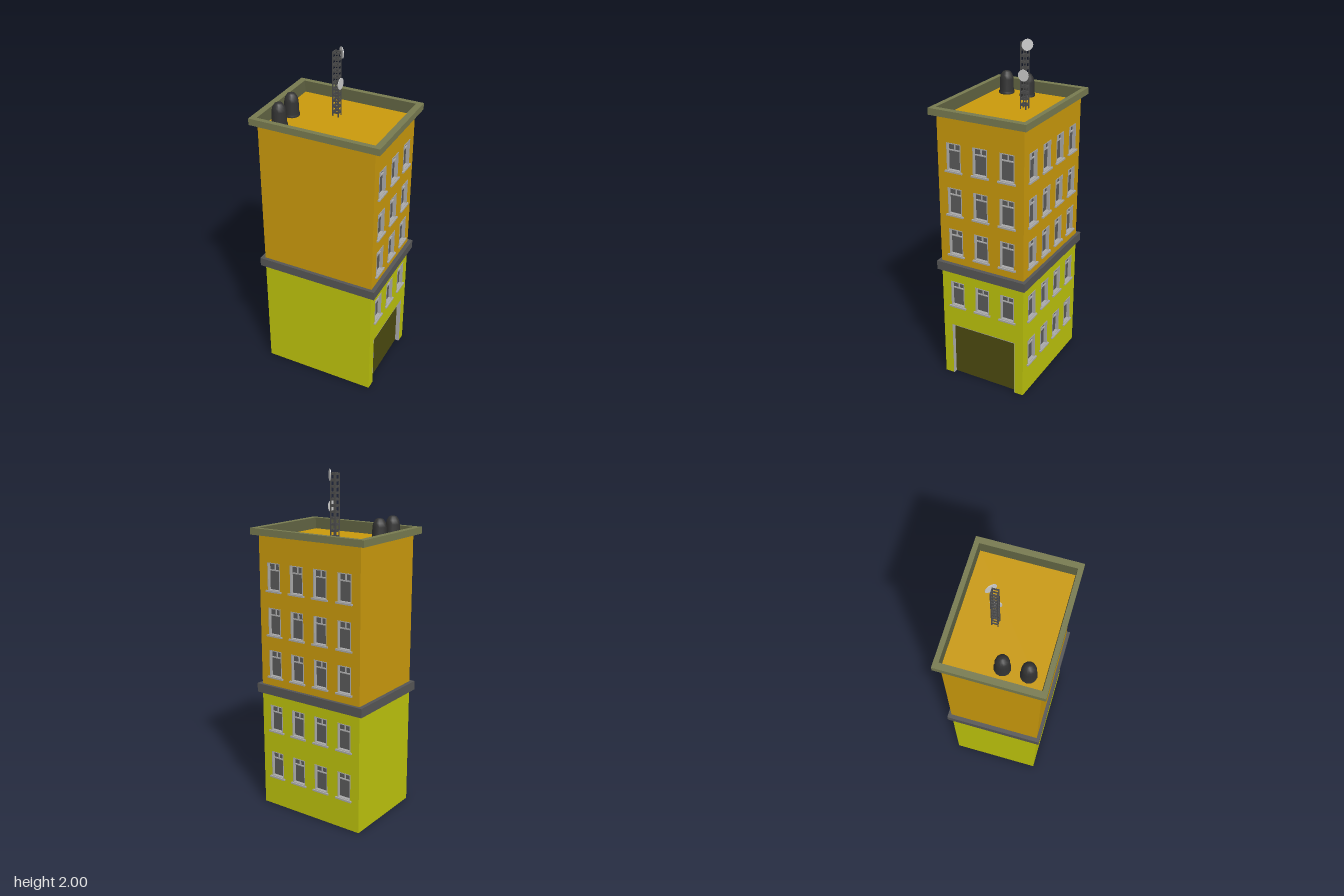
import * as THREE from 'three';

const HX = 0.342, HZ = 0.264; // half width and half depth of the walls
const mat = (color, side = THREE.FrontSide) => new THREE.MeshStandardMaterial({ color, side });
const lime = mat(0xbcc20c, THREE.DoubleSide);
const orange = mat(0xc9990c, THREE.DoubleSide);
const olive = mat(0x777a50);
const oliveInner = mat(0x5d6040, THREE.DoubleSide);
const bandGrey = mat(0x555555);
const frameGrey = mat(0xaaaaaa);
const glass = mat(0x5a5a5a);
const doorOlive = mat(0x4c4a10);
const black = mat(0x333333);
const steel = mat(0x4c4c4c);
const pale = mat(0xcccccc, THREE.DoubleSide);

function add(parent, name, geometry, material, x = 0, y = 0, z = 0) {
  const mesh = new THREE.Mesh(geometry, material);
  mesh.name = name;
  mesh.position.set(x, y, z);
  parent.add(mesh);
  return mesh;
}

function rect(x0, y0, x1, y1, Type = THREE.Shape) {
  const s = new Type();
  s.moveTo(x0, y0); s.lineTo(x1, y0); s.lineTo(x1, y1); s.lineTo(x0, y1);
  s.closePath();
  return s;
}

// Rectangular ring extruded along z
function ringGeometry(ox, oy, ix, iy, depth) {
  const s = rect(-ox, -oy, ox, oy);
  s.holes.push(rect(-ix, -iy, ix, iy, THREE.Path));
  return new THREE.ExtrudeGeometry(s, { depth, bevelEnabled: false });
}

// Horizontal ring around the building, starting at height y
function collar(parent, name, ox, oz, ix, iz, y, height, material) {
  const geo = ringGeometry(ox, oz, ix, iz, height).rotateX(-Math.PI / 2);
  return add(parent, name, geo, material, 0, y, 0);
}

const WIN_W = 0.088, WIN_H = 0.16, RECESS = 0.02;
const upperRows = [0.817, 1.067, 1.327];
const geo = {
  frame: ringGeometry(WIN_W / 2, WIN_H / 2, WIN_W / 2 - 0.005, WIN_H / 2 - 0.005, RECESS + 0.002),
  pane: new THREE.PlaneGeometry(WIN_W, WIN_H),
  transom: new THREE.BoxGeometry(WIN_W, 0.006, 0.008),
  mullion: new THREE.BoxGeometry(0.005, 0.042, 0.008),
  sill: new THREE.BoxGeometry(0.108, 0.01, 0.028),
};

// Recessed window; its origin is the middle of the bottom edge on the wall
function makeWindow(x, y) {
  const g = new THREE.Group();
  g.name = 'window';
  g.position.set(x, y, 0);
  add(g, 'windowFrame', geo.frame, frameGrey, 0, WIN_H / 2, -RECESS);
  add(g, 'windowPane', geo.pane, glass, 0, WIN_H / 2, -RECESS + 0.002);
  add(g, 'transom', geo.transom, frameGrey, 0, 0.116, -RECESS + 0.006);
  add(g, 'mullion', geo.mullion, frameGrey, 0, 0.138, -RECESS + 0.006);
  add(g, 'sill', geo.sill, frameGrey, 0, -0.003, -0.003);
  return g;
}

// One side of the building facing local +z, with its windows and garage opening
function makeSide(name, half, offset, angle, columns, lowerRows, door) {
  const side = new THREE.Group();
  side.name = name;
  side.rotation.y = angle;
  const face = new THREE.Group();
  face.position.z = offset;
  side.add(face);
  const storeys = [
    ['lowerWall', 0, 0.735, lowerRows, lime],
    ['upperWall', 0.735, 1.645, upperRows, orange],
  ];
  for (const [wallName, y0, y1, rows, material] of storeys) {
    let shape = rect(-half, y0, half, y1);
    if (door && y0 === 0) {
      shape = new THREE.Shape([
        [-half, 0], [-door.w, 0], [-door.w, door.h], [door.w, door.h],
        [door.w, 0], [half, 0], [half, y1], [-half, y1],
      ].map(([x, y]) => new THREE.Vector2(x, y)));
    }
    for (const y of rows) for (const x of columns) {
      shape.holes.push(rect(x - WIN_W / 2, y, x + WIN_W / 2, y + WIN_H, THREE.Path));
      face.add(makeWindow(x, y));
    }
    add(face, wallName, new THREE.ShapeGeometry(shape), material);
  }
  if (door) {
    const d = 0.025;
    add(face, 'garageDoor', new THREE.PlaneGeometry(door.w * 2, door.h), doorOlive, 0, door.h / 2, -d);
    for (const s of [-1, 1]) {
      add(face, 'doorJamb', new THREE.BoxGeometry(0.004, door.h, d), frameGrey,
        s * (door.w - 0.001), door.h / 2, -d / 2);
    }
    add(face, 'doorHead', new THREE.BoxGeometry(door.w * 2, 0.004, d), frameGrey, 0, door.h - 0.001, -d / 2);
  }
  return side;
}

// Square lattice mast with two dishes
function makeMast(roofY) {
  const mast = new THREE.Group();
  mast.name = 'mast';
  mast.position.set(-0.036, 0, -0.064);
  const h = 1.98 - roofY, r = 0.0165, t = 0.005;
  const post = new THREE.BoxGeometry(t, h, t);
  const rung = new THREE.BoxGeometry(2 * r, 0.012, 0.004);
  for (const x of [-r, r]) for (const z of [-r, r]) {
    add(mast, 'mastPost', post, steel, x, roofY + h / 2, z);
  }
  for (let y = 1.974; y > roofY + 0.02; y -= 0.034) {
    for (const s of [-1, 1]) {
      add(mast, 'mastRung', rung, steel, 0, y, s * r);
      add(mast, 'mastRung', rung, steel, s * r, y, 0).rotation.y = Math.PI / 2;
    }
  }
  const dishGeo = new THREE.CylinderGeometry(0.032, 0.032, 0.004, 20).rotateZ(-Math.PI / 2);
  add(mast, 'lowerDish', dishGeo, pale, 0.021, 1.8, -0.002);
  add(mast, 'upperDish', dishGeo, pale, 0.017, 1.968, -0.023).rotation.y = Math.PI / 4;
  return mast;
}

export function createModel() {
  const model = new THREE.Group();
  model.name = 'building';
  const roofY = 1.61;

  // Four sides: two plain, two with windows
  const backRows = [0.185, 0.48];
  model.add(
    makeSide('frontSide', HX, HZ, 0, [], [], null),
    makeSide('leftSide', HZ, HX, Math.PI / 2, [-0.163, 0, 0.163], [0.48], { w: 0.209, h: 0.345 }),
    makeSide('backSide', HX, HZ, Math.PI, [-0.24, -0.08, 0.08, 0.24], backRows, null),
    makeSide('rightSide', HZ, HX, -Math.PI / 2, [], [], null),
  );

  // Band between the storeys, cornice and sloping parapet lining
  collar(model, 'middleBand', 0.366, 0.283, HX - 0.002, HZ - 0.002, 0.71, 0.053, bandGrey);
  collar(model, 'cornice', 0.379, 0.293, 0.343, 0.265, 1.637, 0.038, olive);
  const lining = new THREE.CylinderGeometry(Math.SQRT2, Math.SQRT2 * 0.977, 1.674 - roofY, 4, 1, true)
    .rotateY(Math.PI / 4).scale(0.343, 1, 0.265).toNonIndexed();
  lining.computeVertexNormals();
  add(model, 'parapetLining', lining, oliveInner, 0, (1.674 + roofY) / 2, 0);

  // Roof deck
  const deck = new THREE.PlaneGeometry(2 * HX - 0.006, 2 * HZ - 0.006).rotateX(-Math.PI / 2);
  add(model, 'roofDeck', deck, orange, 0, roofY, 0);

  // Two domed roof vents
  const profile = [[0.045, 0], [0.045, 0.012], [0.041, 0.015], [0.039, 0.085], [0.034, 0.108],
    [0.022, 0.126], [0.01, 0.131], [0, 0.132]].map(([x, y]) => new THREE.Vector2(x, y));
  const vent = new THREE.LatheGeometry(profile, 12);
  for (const z of [0.037, 0.173]) add(model, 'roofVent', vent, black, -0.261, roofY, z);

  model.add(makeMast(roofY));
  return model;
}
